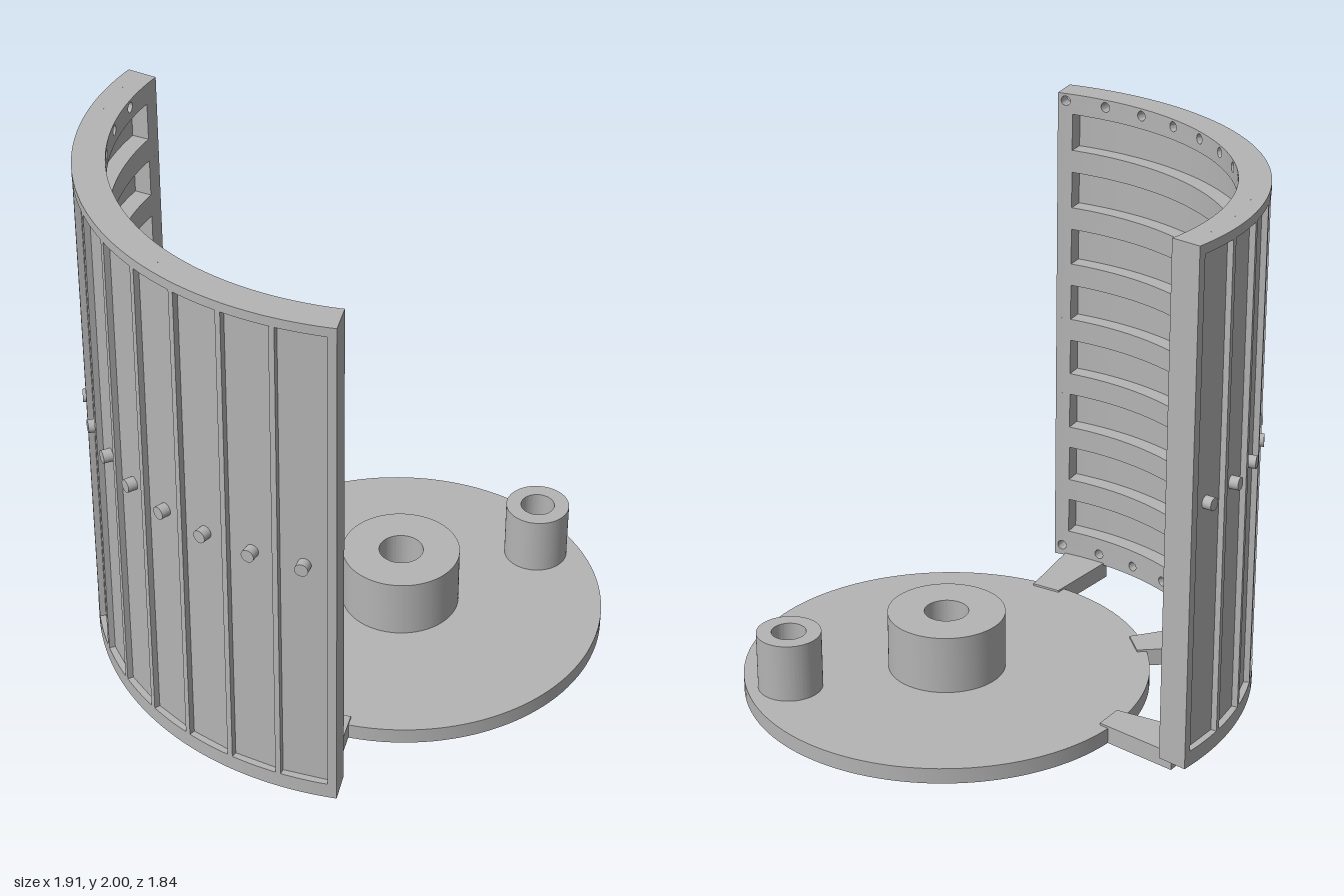
import * as THREE from 'three';
import { toCreasedNormals } from 'three/addons/utils/BufferGeometryUtils.js';

const CX = 0.19, CZ = 0.16;              // shared axis of disc and wall
const R_IN = 1.025, R_SLOT = 1.09, R_CORE = 1.11, R_OUT = 1.14;
const A0 = -36, A1 = 72;                 // wall sweep, degrees from -x toward -z
const Y0 = 0.06, Y1 = 2;
const RAD = Math.PI / 180;

// polar position about the shared axis
const polar = (a, r, y) =>
  new THREE.Vector3(CX - r * Math.cos(a * RAD), y, CZ - r * Math.sin(a * RAD));

// box bent around the axis
function sector(r0, r1, y0, y1, a0, a1, segs = Math.max(1, Math.ceil((a1 - a0) / 1.5))) {
  const g = new THREE.BoxGeometry(1, 1, 1, segs, 1, 1);
  const p = g.attributes.position;
  for (let i = 0; i < p.count; i++) {
    const v = polar(
      a1 + (a0 - a1) * (p.getX(i) + 0.5),
      r0 + (r1 - r0) * (p.getZ(i) + 0.5),
      y0 + (y1 - y0) * (p.getY(i) + 0.5));
    p.setXYZ(i, v.x, v.y, v.z);
  }
  g.computeVertexNormals();
  return g;
}

// bent tile with one blind round hole in its inner face
function holedTile(a0, a1, y0, y1, ha, hy, hr) {
  const n = 32, pos = [], idx = [];
  const rect = (t, r) => {
    const c = Math.cos(t), s = Math.sin(t), m = Math.max(Math.abs(c), Math.abs(s));
    return polar(a0 + (a1 - a0) * (c / m + 1) / 2, r, y0 + (y1 - y0) * (s / m + 1) / 2);
  };
  const ring = (t, r, k) =>
    polar(ha + k * Math.cos(t) / R_IN / RAD, r, hy + k * Math.sin(t));
  const rows = [
    t => rect(t, R_SLOT), t => rect(t, R_IN),
    t => ring(t, R_IN, hr), t => ring(t, 1.08, hr), t => ring(t, 1.08, 0.0005),
  ];
  rows.forEach((f, j) => {
    for (let i = 0; i < n; i++) {
      pos.push(...f(i / n * Math.PI * 2).toArray());
      if (j === rows.length - 1) continue;
      const a = j * n + i, b = j * n + (i + 1) % n;
      idx.push(a, b, b + n, a, b + n, a + n);
    }
  });
  const g = new THREE.BufferGeometry();
  g.setAttribute('position', new THREE.Float32BufferAttribute(pos, 3));
  g.setIndex(idx);
  return toCreasedNormals(g, 0.5);
}

// plan outline raised from y0 to y1
function raise(shape, y0, y1) {
  const g = new THREE.ExtrudeGeometry(shape, { depth: y1 - y0, bevelEnabled: false, curveSegments: 64 });
  g.rotateX(-Math.PI / 2).translate(0, y0, 0);
  return toCreasedNormals(g, 0.5);
}

function circle(Type, x, z, r) {
  return new Type().absarc(x, -z, r, 0, Math.PI * 2, false);
}

export function createModel() {
  const grey = new THREE.MeshStandardMaterial({ color: 0xb4b4b4 });
  grey.name = 'grey';
  const model = new THREE.Group();
  const wall = new THREE.Group();
  wall.name = 'curvedWall';
  model.add(wall);
  const add = (name, geometry, parent = wall) => {
    const m = new THREE.Mesh(geometry, grey);
    m.name = name;
    parent.add(m);
    return m;
  };

  // base disc with hub and small post, both bored through
  const bores = [
    { name: 'hub', x: CX, z: CZ, r: 0.22, hole: 0.083 },
    { name: 'crankPost', x: 0.77, z: 0.305, r: 0.12, hole: 0.064 },
  ];
  const disc = circle(THREE.Shape, CX, CZ, 0.76);
  for (const b of bores) {
    disc.holes.push(circle(THREE.Path, b.x, b.z, b.hole));
    const tube = circle(THREE.Shape, b.x, b.z, b.r);
    tube.holes.push(circle(THREE.Path, b.x, b.z, b.hole));
    add(b.name, raise(tube, 0.06, 0.285), model);
  }
  add('baseDisc', raise(disc, 0, 0.06), model);

  // tapered spokes joining disc and wall
  for (const a of [-28.4, 18.1, 64.6]) {
    const s = new THREE.Shape();
    const corners = [[0.72, -0.057], [0.72, 0.057], [1.043, 0.092], [1.043, -0.092]];
    s.setFromPoints(corners.map(([r, w]) => {
      const c = Math.cos(a * RAD), n = Math.sin(a * RAD);
      return new THREE.Vector2(CX - r * c + w * n, -(CZ - r * n - w * c));
    }));
    add('spoke', raise(s, 0, 0.068), model);
  }

  // wall core, with the slot floors on its inner face
  add('wallCore', sector(R_SLOT, R_CORE, Y0, Y1, A0, A1));

  // inner face: lands between eight slots, closed at both ends
  const slots = 8, pitch = 0.23, slotBottom = 0.17, slotHeight = 0.142;
  const s0 = -32.6, s1 = 68.4;
  for (let i = 0; i < slots; i++) {
    const y = slotBottom + i * pitch;
    add('slotEnd', sector(R_IN, R_SLOT, y, y + slotHeight, A0, s0));
    add('slotEnd', sector(R_IN, R_SLOT, y, y + slotHeight, s1, A1));
    if (i < slots - 1) add('land', sector(R_IN, R_SLOT, y + slotHeight, y + pitch, A0, A1));
  }

  // top and bottom inner bands with a row of blind holes
  const count = 11, step = 9.55, first = -34.2;
  const topOfSlots = slotBottom + (slots - 1) * pitch + slotHeight;
  for (const [y0, y1, hy] of [[Y0, slotBottom, 0.102], [topOfSlots, Y1, 1.972]]) {
    for (let k = 0; k < count; k++) {
      const a = first + k * step;
      const lo = k === 0 ? A0 : a - step / 2;
      const hi = k === count - 1 ? a + step / 2 : a + step / 2;
      add('holedBand', holedTile(lo, hi, y0, y1, a, hy, 0.019));
    }
    add('bandEnd', sector(R_IN, R_SLOT, y0, y1, first + (count - 0.5) * step, A1));
  }

  // outer face: rims, ribs, flat recessed panels and pegs
  const low = 0.12, high = 1.965, panelStep = 9.63, rib = 1, start = -34.4;
  add('bottomRim', sector(R_CORE, R_OUT, Y0, low, A0, A1));
  add('topRim', sector(R_CORE, R_OUT, high, Y1, A0, A1));
  add('endRib', sector(R_CORE, R_OUT, low, high, A0, start));
  for (let k = 0; k < count; k++) {
    const a = start + k * panelStep, b = a + panelStep - rib;
    add('panel', sector(1.1, 1.118, low, high, a, b, 1));
    add('rib', sector(R_CORE, R_OUT, low, high, b, k === count - 1 ? A1 : b + rib));
    const mid = (a + b) / 2;
    const peg = add('peg', new THREE.CylinderGeometry(0.024, 0.024, 0.05, 24));
    peg.position.copy(polar(mid, 1.125, 1.045));
    peg.quaternion.setFromUnitVectors(
      new THREE.Vector3(0, 1, 0),
      new THREE.Vector3(-Math.cos(mid * RAD), 0, -Math.sin(mid * RAD)));
  }
  return model;
}
